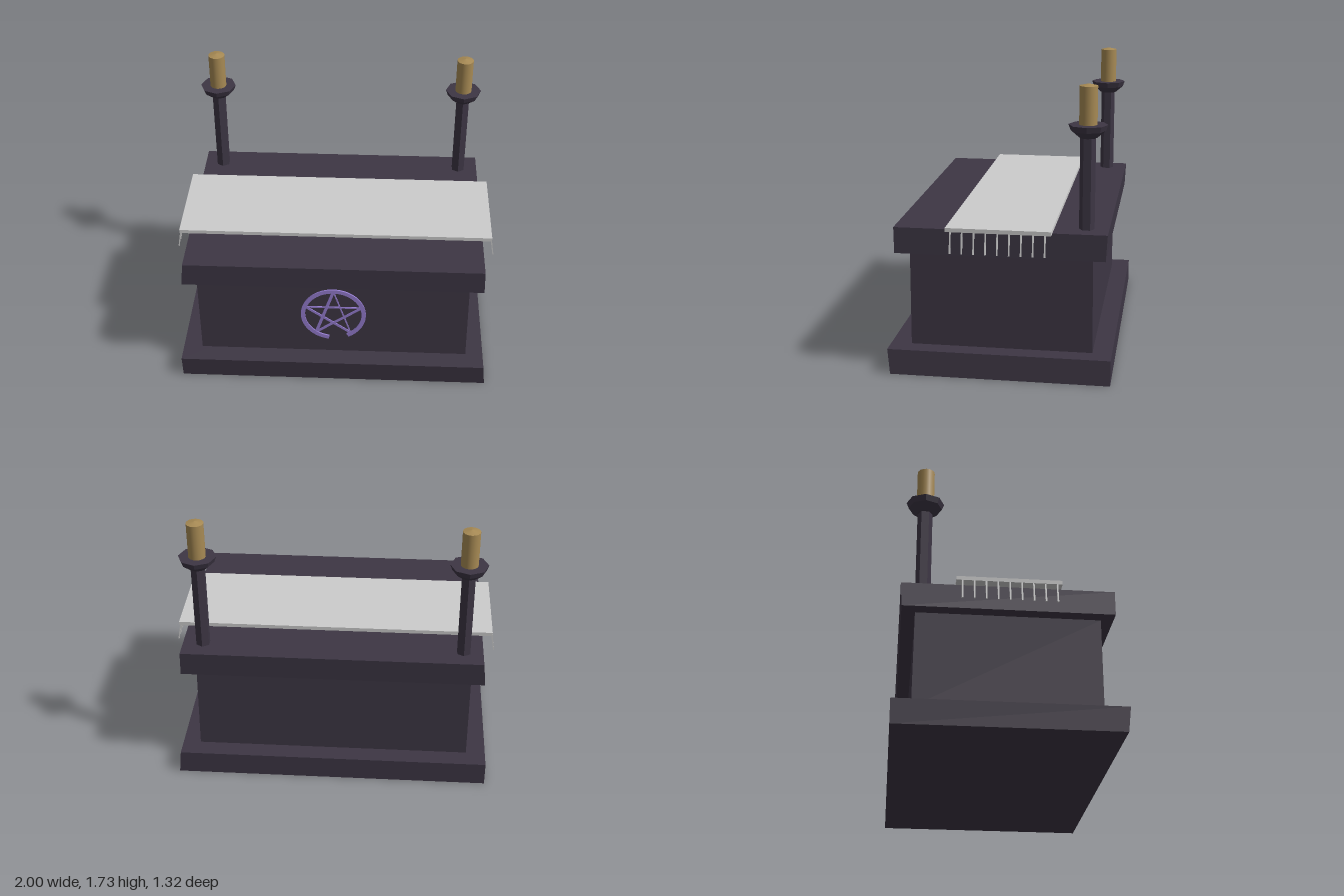
import * as THREE from 'three';

const mat = (name, color, extra = {}) => {
  const m = new THREE.MeshStandardMaterial({ color, ...extra });
  m.name = name;
  return m;
};

export function createModel() {
  const root = new THREE.Group();
  const stone = mat('dark stone', 0x3d3644);
  const wax = mat('tan wax', 0xa78a54);
  const cloth = mat('pale cloth', 0xcccccc);
  const paint = mat('purple paint', 0x957ccf);

  const add = (name, geo, material, parent = root) => {
    const m = new THREE.Mesh(geo, material);
    m.name = name;
    parent.add(m);
    return m;
  };
  const flat = (geo) => {
    const g = geo.toNonIndexed();
    g.computeVertexNormals();
    return g;
  };

  // Slightly crooked block: bottom and top outlines are [xMin, xMax, zMin, zMax]
  const block = (name, y0, y1, bottom, top) => {
    const g = new THREE.BoxGeometry(2, 2, 2);
    const p = g.attributes.position;
    for (let i = 0; i < p.count; i++) {
      const r = p.getY(i) > 0 ? top : bottom;
      p.setXYZ(i, r[p.getX(i) > 0 ? 1 : 0], p.getY(i) > 0 ? y1 : y0, r[p.getZ(i) > 0 ? 3 : 2]);
    }
    add(name, flat(g), stone);
  };
  block('base', 0, 0.15, [-0.97, 0.975, -0.66, 0.643], [-0.97, 0.96, -0.66, 0.66]);
  block('body', 0.15, 0.735, [-0.85, 0.85, -0.545, 0.537], [-0.85, 0.842, -0.54, 0.537]);
  block('slab', 0.735, 0.89, [-0.93, 0.925, -0.618, 0.61], [-0.915, 0.92, -0.627, 0.613]);

  // Candle stands
  for (const side of [-1, 1]) {
    const stand = new THREE.Group();
    stand.name = side > 0 ? 'leftCandleStand' : 'rightCandleStand';
    stand.position.set(side * 0.795, 0, -0.497);
    root.add(stand);
    const shaft = add('shaft', flat(new THREE.CylinderGeometry(0.045, 0.045, 0.56, 6)), stone, stand);
    shaft.position.y = 1.16;
    const profile = [[0, 1.425], [0.052, 1.425], [0.1, 1.465], [0.113, 1.5], [0, 1.5]];
    add('cup', flat(new THREE.LatheGeometry(profile.map(([x, y]) => new THREE.Vector2(x, y)), 8)), stone, stand);
    const candle = add('candle', new THREE.CylinderGeometry(0.052, 0.052, 0.225, 16), wax, stand);
    candle.position.y = 1.6075;
    const tip = add('candleTip', new THREE.ConeGeometry(0.052, 0.012, 16, 1, true), wax, stand);
    tip.position.y = 1.726;
  }

  // Runner with a fringe at both ends
  add('runner', new THREE.BoxGeometry(1.956, 0.024, 0.61), cloth).position.set(0, 0.902, -0.007);
  for (const side of [-1, 1]) {
    for (let i = 0; i < 9; i++) {
      const strand = add('tassel', new THREE.BoxGeometry(0.007, 0.138, 0.009), cloth);
      strand.position.set(side * 0.983, 0.835, 0.268 - i * 0.0682);
      strand.rotation.z = side * 0.17;
    }
  }

  // Painted star in a broken ring
  const emblem = new THREE.Group();
  emblem.name = 'emblem';
  emblem.position.set(0, 0.463, 0.544);
  root.add(emblem);
  const ring = new THREE.Shape();
  const a0 = THREE.MathUtils.degToRad(-62), a1 = THREE.MathUtils.degToRad(262);
  ring.absarc(0, 0, 0.205, a0, a1, false);
  ring.absarc(0, 0, 0.178, a1, a0, true);
  const ringGeo = new THREE.ExtrudeGeometry(ring, { depth: 0.009, bevelEnabled: false, curveSegments: 40 });
  ringGeo.translate(0, 0, -0.0045);
  add('ring', ringGeo, paint, emblem);
  const point = (i) => {
    const a = Math.PI / 2 + (i * Math.PI * 2) / 5;
    return new THREE.Vector2(Math.cos(a) * 0.186, Math.sin(a) * 0.186);
  };
  const widths = [0.019, 0.015, 0.01, 0.015, 0.008];
  [[0, 2], [2, 4], [4, 1], [1, 3], [3, 0]].forEach(([a, b], i) => {
    const p = point(a), q = point(b), d = q.clone().sub(p);
    const bar = add('starBar', new THREE.BoxGeometry(d.length(), widths[i], 0.006), paint, emblem);
    bar.position.set((p.x + q.x) / 2, (p.y + q.y) / 2, -0.002 - i * 0.0004);
    bar.rotation.z = Math.atan2(d.y, d.x);
  });

  return root;
}
